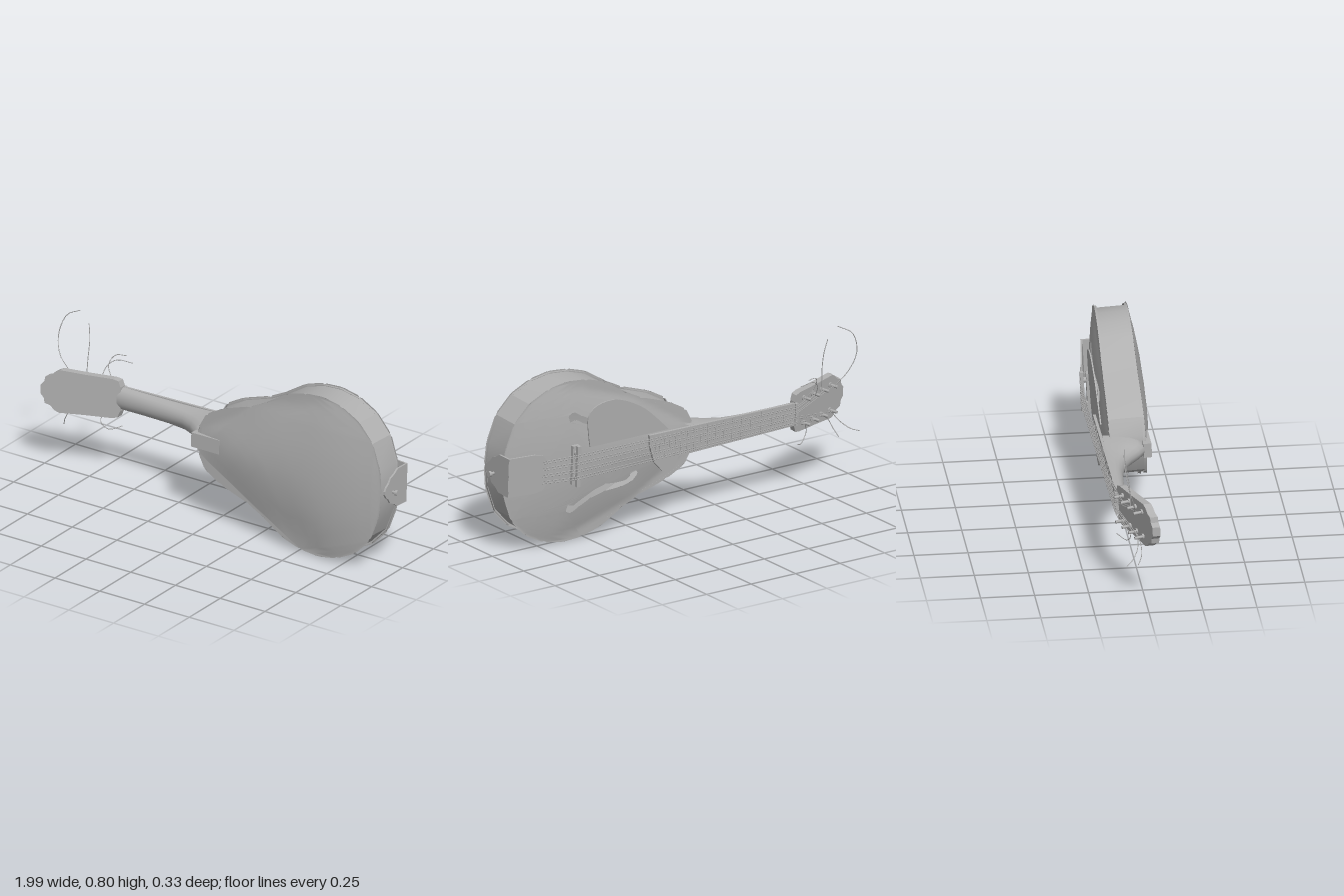
import * as THREE from 'three';
import { mergeVertices, toCreasedNormals } from 'three/addons/utils/BufferGeometryUtils.js';

const grey = new THREE.MeshStandardMaterial({ color: 0xb0b0b0, side: THREE.DoubleSide });
grey.name = 'plain grey';

const V2 = (p) => new THREE.Vector2(p[0], p[1]);
const V3 = (p) => new THREE.Vector3(p[0], p[1], p[2]);

// Body outline: half of a teardrop, mirrored, around the middle line y = 0
const half = [[-0.07, 0], [-0.06, 0.06], [-0.02, 0.135], [0.07, 0.185], [0.22, 0.235], [0.3, 0.275], [0.42, 0.35],
  [0.52, 0.38], [0.62, 0.388], [0.72, 0.37], [0.82, 0.32], [0.9, 0.235], [0.945, 0.11], [0.955, 0]];
const outline = [...half, ...half.slice(1, -1).reverse().map(([x, y]) => [x, -y])];
const CX = 0.55;

// Distance from the body centre as a share of the distance to the outline
function rimRatio(x, y) {
  const dx = x - CX;
  let best = 0;
  outline.forEach((a, i) => {
    const b = outline[(i + 1) % outline.length];
    const ax = a[0] - CX, bx = b[0] - CX;
    const ex = bx - ax, ey = b[1] - a[1];
    const d = ex * a[1] - ey * ax;
    if (Math.abs(d) > 1e-9) best = Math.max(best, (ex * y - ey * dx) / d);
  });
  return Math.min(best, 1);
}
const backRim = (x) => 0.098 + 0.022 * x;
const faceRim = (x) => -0.068 + 0.042 * x;

// Splits every triangle in four
function subdivide(pos, levels) {
  for (let l = 0; l < levels; l++) {
    const out = [];
    for (let i = 0; i < pos.length; i += 3) {
      const [a, b, c] = [pos[i], pos[i + 1], pos[i + 2]];
      const ab = a.clone().lerp(b, 0.5), bc = b.clone().lerp(c, 0.5), ca = c.clone().lerp(a, 0.5);
      out.push(a, ab, ca, ab, b, bc, ca, bc, c, ab, bc, ca);
    }
    pos = out;
  }
  return pos;
}

// Arched plate over the outline, optionally pierced
function plate(rim, height, holes) {
  const shape = new THREE.Shape(outline.map(V2));
  shape.holes = holes.map((h) => new THREE.Path(h));
  const flat = new THREE.ShapeGeometry(shape).toNonIndexed().attributes.position;
  let pts = [];
  for (let i = 0; i < flat.count; i++) pts.push(new THREE.Vector3().fromBufferAttribute(flat, i));
  pts = subdivide(pts, 3);
  pts.forEach((p) => {
    const r = rimRatio(p.x, p.y);
    p.z = rim(p.x) + height * (1 - r * r);
    p.x = CX + (p.x - CX) * 1.008;
    p.y *= 1.008;
  });
  const g = mergeVertices(new THREE.BufferGeometry().setFromPoints(pts), 1e-5);
  g.computeVertexNormals();
  return g;
}

// Skin over a list of equally long cross-sections
function loft(rows, closed, crease) {
  const n = rows[0].length, pos = rows.flat(2), idx = [];
  for (let r = 0; r < rows.length - 1; r++) {
    for (let i = 0; i < (closed ? n : n - 1); i++) {
      const a = r * n + i, b = r * n + (i + 1) % n;
      idx.push(a, b, a + n, b, b + n, a + n);
    }
  }
  const g = new THREE.BufferGeometry();
  g.setAttribute('position', new THREE.Float32BufferAttribute(pos, 3));
  g.setIndex(idx);
  return toCreasedNormals(g, crease);
}
const band = (s, z0, z1) => loft([z0, z1].map((f) =>
  outline.map(([x, y]) => [CX + (x - CX) * s, y * s, f(x)])), true, 0.35);

// Flat slab of a given outline from z0 to z1, sheared along x by a rule
function slab(points, z0, z1, shear = () => 0) {
  const g = new THREE.ExtrudeGeometry(new THREE.Shape(points.map(V2)), { depth: z1 - z0, bevelEnabled: false });
  const p = g.attributes.position;
  for (let i = 0; i < p.count; i++) p.setZ(i, p.getZ(i) + z0 + shear(p.getX(i)));
  g.computeVertexNormals();
  return g;
}

function rod(a, b, r, sides = 6) {
  const A = V3(a), B = V3(b), d = B.clone().sub(A);
  const g = new THREE.CylinderGeometry(r, r, d.length(), sides);
  g.applyQuaternion(new THREE.Quaternion().setFromUnitVectors(new THREE.Vector3(0, 1, 0), d.clone().normalize()));
  const m = A.add(B).multiplyScalar(0.5);
  return g.translate(m.x, m.y, m.z);
}
const box = (x0, x1, y, z0, z1) => new THREE.BoxGeometry(x1 - x0, 2 * y, z1 - z0).translate((x0 + x1) / 2, 0, (z0 + z1) / 2);

export function createModel() {
  const root = new THREE.Group();
  root.name = 'mandolin';
  const body = new THREE.Group();
  body.name = 'tiltedInstrument';
  body.position.y = 0.395;
  body.rotation.x = -0.05;
  root.add(body);
  const add = (name, g) => {
    const m = new THREE.Mesh(g, grey);
    m.name = name;
    body.add(m);
  };

  // Sound box with two S-shaped holes in its face
  const hole = [[0.24, 0.12], [0.27, 0.155], [0.33, 0.167], [0.42, 0.17], [0.5, 0.19], [0.56, 0.222], [0.6, 0.245],
    [0.628, 0.23], [0.62, 0.2], [0.59, 0.208], [0.55, 0.185], [0.48, 0.15], [0.42, 0.133], [0.36, 0.14],
    [0.31, 0.14], [0.285, 0.125], [0.285, 0.105], [0.255, 0.1]];
  const holes = [1, -1].map((s) => hole.map(([x, y]) => new THREE.Vector2(x, s * y)));
  add('backPlate', plate(backRim, 0.047, []));
  add('facePlate', plate(faceRim, -0.046, holes));
  add('bodySides', band(0.985, backRim, faceRim));
  add('backBinding', band(1.008, backRim, (x) => backRim(x) - 0.012));
  add('faceBinding', band(1.008, faceRim, (x) => faceRim(x) + 0.012));

  // Neck with a round back that deepens into the heel
  const stations = [[-0.64, 0.056, -0.06], [-0.5, 0.054, -0.054], [-0.35, 0.054, -0.045], [-0.25, 0.055, -0.025],
    [-0.18, 0.057, 0.015], [-0.13, 0.06, 0.06], [-0.1, 0.062, 0.086], [-0.03, 0.065, 0.09]];
  const sections = stations.map(([x, w, z]) => Array.from({ length: 11 }, (_, i) => {
    const t = Math.PI * i / 10;
    return [x, w * Math.cos(t), -0.1 + (z + 0.1) * Math.sin(t) ** 0.8];
  }));
  add('neck', loft(sections, true, 0.7));
  add('heelCap', box(-0.1, 0.055, 0.035, 0.08, 0.118));

  // Fretboard, frets and nut
  const slope = (x) => -0.012 * (x + 0.62);
  add('fretboard', slab([[-0.63, 0.055], [0.08, 0.066], [0.2, 0.068], [0.195, 0.01], [0.17, -0.07], [0.12, -0.125],
    [0.08, -0.135], [0.05, -0.11], [0.03, -0.068], [-0.63, -0.055]], -0.107, -0.094, slope));
  for (let i = 1; i <= 18; i++) {
    const x = 0.6 - 1.23 * 2 ** (-i / 12), z = -0.107 + slope(x);
    add('fret', box(x - 0.002, x + 0.002, 0.055, z - 0.002, z + 0.002));
  }
  add('nut', box(-0.64, -0.625, 0.055, -0.115, -0.09));

  // Headstock, leaning back, with a scalloped tip
  const lean = (x) => 0.34 * (-0.63 - x);
  const headHalf = [[-0.625, 0.06], [-0.635, 0.09], [-0.66, 0.097], [-0.78, 0.1], [-0.9, 0.106], [-0.92, 0.096],
    [-0.94, 0.075], [-0.965, 0.066], [-0.97, 0.04], [-0.985, 0.022]];
  add('headstock', slab([...headHalf, ...headHalf.slice().reverse().map(([x, y]) => [x, -y])], -0.102, -0.066, lean));

  // Pickguard floating above the face
  add('pickguard', slab(new THREE.SplineCurve([[0.08, 0.07], [0.15, 0.14], [0.24, 0.215], [0.37, 0.275], [0.48, 0.27],
    [0.535, 0.22], [0.53, 0.13], [0.52, 0.07]].map(V2)).getPoints(24).map((p) => [p.x, p.y]), -0.097, -0.091));

  // Bridge: foot, two thumbwheels and saddle
  add('bridgeFoot', box(0.585, 0.62, 0.095, -0.102, -0.082));
  add('bridgeSaddle', box(0.592, 0.612, 0.1, -0.129, -0.113));
  for (const s of [1, -1]) add('bridgeWheel', rod([0.602, s * 0.06, -0.115], [0.602, s * 0.06, -0.1], 0.013, 10));

  // Strings in four pairs, each running to a tuning post
  for (let i = 0; i < 8; i++) {
    const side = i < 4 ? -1 : 1, k = i < 4 ? i : 7 - i;
    const y = (Math.floor(i / 2) - 1.5) * 0.036 + (i % 2 ? 0.006 : -0.006);
    const px = -0.69 - 0.065 * k, py = side * 0.062, pz = -0.102 + lean(px);
    const path = [[0.79, y * 0.9, -0.104], [0.602, y, -0.131], [-0.632, y * 0.7, -0.117], [px, py, pz - 0.022]];
    for (let j = 0; j < 3; j++) add('string', rod(path[j], path[j + 1], 0.002, 5));
    add('tuningPost', rod([px, py, pz + 0.01], [px - 0.014, py, pz - 0.042], 0.007, 8));
    add('tuningCollar', rod([px, py, pz + 0.004], [px - 0.002, py, pz - 0.007], 0.013, 8));
  }

  // Loose string ends curling off the posts
  const loose = [
    [[-0.88, 0.062, -0.05], [-0.96, 0.14, -0.06], [-0.985, 0.23, -0.08], [-0.95, 0.33, -0.09], [-0.87, 0.378, -0.08]],
    [[-0.81, 0.062, -0.06], [-0.805, 0.16, -0.06], [-0.805, 0.25, -0.07], [-0.818, 0.325, -0.08]],
    [[-0.69, 0.062, -0.1], [-0.73, 0.13, -0.12], [-0.71, 0.175, -0.145], [-0.66, 0.18, -0.16]],
    [[-0.75, 0.062, -0.09], [-0.74, 0.12, -0.12], [-0.7, 0.155, -0.14], [-0.62, 0.155, -0.155]],
    [[-0.88, -0.062, -0.04], [-0.92, -0.11, -0.05], [-0.96, -0.145, -0.08], [-0.995, -0.155, -0.11]],
    [[-0.82, -0.062, -0.05], [-0.87, -0.1, -0.03], [-0.9, -0.15, -0.03], [-0.92, -0.19, -0.05]],
    [[-0.69, -0.062, -0.1], [-0.725, -0.125, -0.06], [-0.69, -0.165, -0.075], [-0.64, -0.15, -0.115]],
  ];
  for (const pts of loose) add('looseStringEnd', new THREE.TubeGeometry(new THREE.CatmullRomCurve3(pts.map(V3)), 16, 0.002, 5));

  // Tailpiece: cover over the face, plate down the tail, strap pin
  add('tailpieceCover', slab([[0.77, 0.06], [0.79, 0.085], [0.83, 0.095], [0.966, 0.095], [0.966, -0.095],
    [0.83, -0.095], [0.79, -0.085], [0.77, -0.06], [0.762, 0]], -0.108, -0.1, (x) => 0.13 * (x - 0.77)));
  const tailHalf = [[-0.082, 0.095], [-0.005, 0.093], [0.02, 0.075], [0.05, 0.062], [0.065, 0.04], [0.085, 0.025], [0.095, 0.008]];
  add('tailpiecePlate', slab([...tailHalf, ...tailHalf.slice().reverse().map(([z, y]) => [z, -y])], -0.968, -0.959)
    .rotateY(-Math.PI / 2));
  add('strapPin', rod([0.95, -0.01, 0.033], [0.99, -0.01, 0.033], 0.007, 8));
  add('strapPinHead', rod([0.985, -0.01, 0.033], [0.998, -0.01, 0.033], 0.014, 8));

  return root;
}
